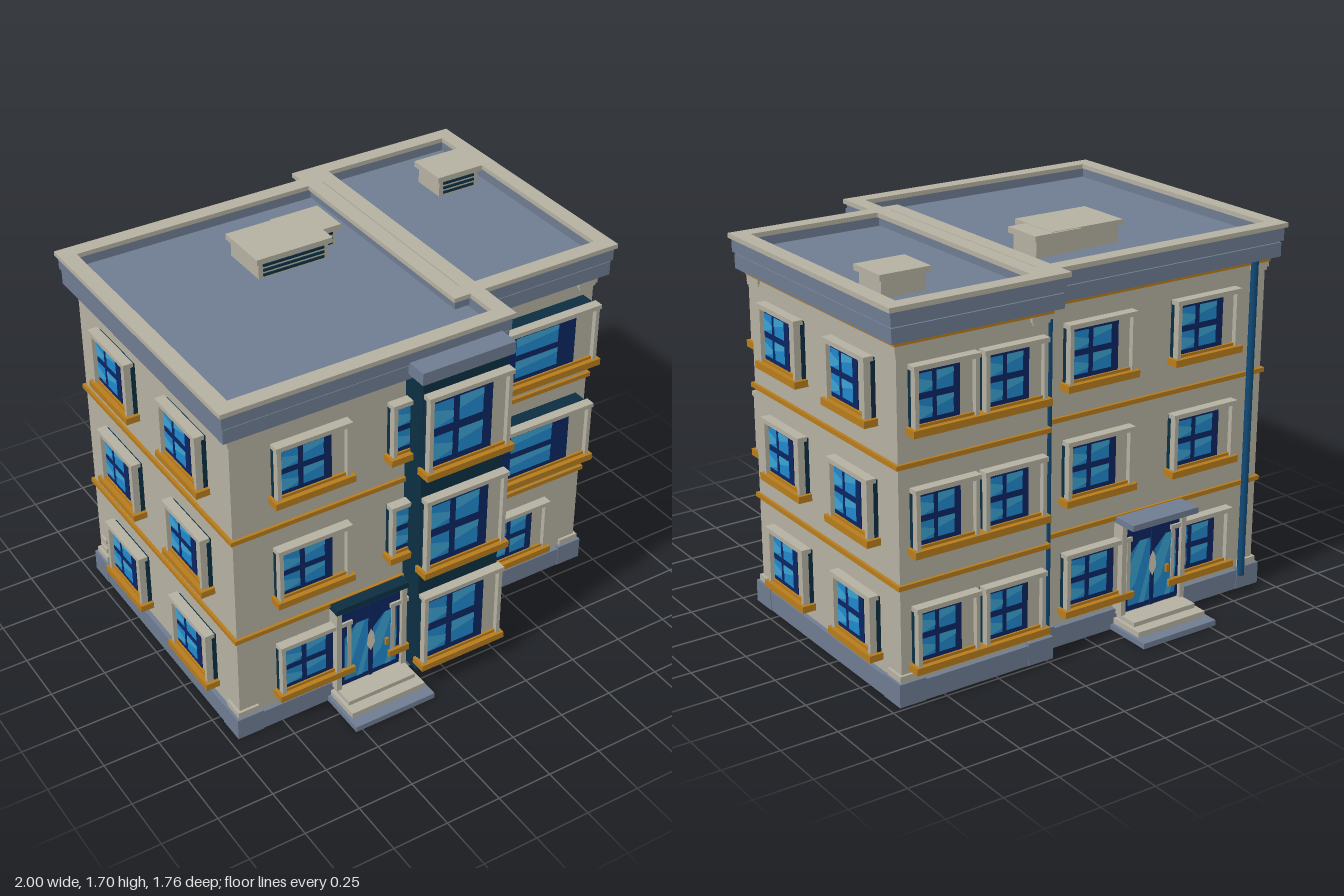
import * as THREE from 'three';

const mat = (name, color) => {
  const m = new THREE.MeshStandardMaterial({ color });
  m.name = name;
  return m;
};
const wall = mat('wall stone', 0xb5b1a2);
const slate = mat('slate', 0x6f7c91);
const ochre = mat('ochre trim', 0xb87c1c);
const teal = mat('dark teal', 0x0c2f42);
const navy = mat('navy glass', 0x0c2562);
const blue = mat('blue glass', 0x2088cc);
const sky = mat('light glass', 0x3ca2d2);
const pipeBlue = mat('pipe blue', 0x104a76);
const cream = mat('cream', 0xd2cab4);

// Box given by its min and max on every axis
function box(parent, name, m, x0, x1, y0, y1, z0, z1) {
  const mesh = new THREE.Mesh(new THREE.BoxGeometry(x1 - x0, y1 - y0, z1 - z0), m);
  mesh.position.set((x0 + x1) / 2, (y0 + y1) / 2, (z0 + z1) / 2);
  mesh.name = name;
  parent.add(mesh);
  return mesh;
}

// Flat polygon facing +z
function plate(parent, name, m, pts, z) {
  const shape = new THREE.Shape(pts.map(p => new THREE.Vector2(p[0], p[1])));
  const mesh = new THREE.Mesh(new THREE.ShapeGeometry(shape), m);
  mesh.position.z = z;
  mesh.name = name;
  parent.add(mesh);
}

function rim(parent, name, m, [x0, x1, z0, z1], y0, y1, t) {
  box(parent, name, m, x0, x1, y0, y1, z0, z0 + t);
  box(parent, name, m, x0, x1, y0, y1, z1 - t, z1);
  box(parent, name, m, x0, x0 + t, y0, y1, z0 + t, z1 - t);
  box(parent, name, m, x1 - t, x1, y0, y1, z0 + t, z1 - t);
}

// Window facing +z; origin at the bottom centre of the sill on the wall
function makeWindow(w, h, { back = 0.02, strip = 0.06, cols = [[0.02, 0.34], [0.44, 0.84]] } = {}) {
  const g = new THREE.Group();
  g.name = 'window';
  const a = w / 2, s = 0.03, f = 0.018, d = back + 0.03;
  box(g, 'windowBacking', teal, -a, a, s - 0.005, h - 0.01, -0.01, back);
  box(g, 'windowReveal', wall, -a + 0.005, a - 0.005, s, h - 0.015, back, back + 0.008);
  for (const k of [-1, 1]) {
    const c = k * (a - f / 2);
    box(g, 'windowJamb', wall, c - f / 2, c + f / 2, s, h - 0.02, back, d);
  }
  box(g, 'windowLintel', wall, -a - 0.006, a + 0.006, h - 0.02, h, back - 0.01, d + 0.004);
  box(g, 'windowSill', ochre, -a - 0.015, a + 0.015, 0, s, -0.01, d + 0.012);
  box(g, 'innerSill', ochre, -a + f, a - f, s, s + 0.012, back, back + 0.02);
  // glass with reflections, and a plain strip at its right
  const x0 = -a + f + 0.004, x1 = a - f - strip, y0 = s + 0.012, y1 = h - 0.022;
  const pw = x1 - x0, ph = y1 - y0, z = back + 0.008;
  box(g, 'glass', navy, x0, x1, y0, y1, z, z + 0.004);
  for (const [u0, u1] of cols) for (const [v0, v1] of [[0.09, 0.45], [0.57, 0.93]]) {
    const l = x0 + u0 * pw, r = x0 + u1 * pw, b = y0 + v0 * ph, t = y0 + v1 * ph, q = (t - b) / 4;
    plate(g, 'reflection', blue, [[l, b], [r, b], [r, t], [l, t]], z + 0.006);
    plate(g, 'reflectionGleam', sky, u0 < 0.1
      ? [[l, b], [r, b + q], [r, t - 2 * q], [l, t - q]]
      : [[l, b + 2 * q], [r, t - q], [r, t], [l, t]], z + 0.008);
  }
  return g;
}

// Door facing +z with steps; origin on the ground at the wall
function makeDoor(canopyMat, canopyDepth) {
  const g = new THREE.Group();
  g.name = 'entrance';
  box(g, 'bottomStep', slate, -0.195, 0.195, 0, 0.025, 0, 0.245);
  box(g, 'middleStep', wall, -0.18, 0.18, 0.025, 0.05, 0, 0.19);
  box(g, 'topStep', wall, -0.165, 0.165, 0.05, 0.07, 0, 0.14);
  box(g, 'doorSurround', wall, -0.16, 0.16, 0.07, 0.49, 0, 0.04);
  for (const k of [-1, 1]) {
    const c = k * 0.16;
    box(g, 'doorJamb', wall, c - 0.012, c + 0.012, 0.07, 0.49, 0, 0.058);
  }
  box(g, 'canopy', canopyMat, -0.175, 0.175, 0.485, 0.512, 0, canopyDepth);
  const z = 0.04;
  box(g, 'doorGlass', navy, -0.14, 0.145, 0.075, 0.478, z, z + 0.004);
  box(g, 'doorHeader', pipeBlue, -0.14, 0.145, 0.465, 0.478, z, z + 0.007);
  for (const k of [-1, 1]) {
    const c = k * 0.07;
    const q = (p) => p.map(([x, y]) => [c + x, y]);
    plate(g, 'doorReflection', blue, q([[-0.058, 0.1], [0.058, 0.1], [0.058, 0.39], [0.0, 0.39], [-0.058, 0.33]]), z + 0.006);
    plate(g, 'doorGleam', sky, q([[-0.058, 0.16], [-0.02, 0.2], [0.04, 0.39], [0.0, 0.39], [-0.058, 0.28]]), z + 0.008);
    plate(g, 'doorGleam', sky, q([[0.0, 0.1], [0.03, 0.1], [0.058, 0.22], [0.058, 0.3]]), z + 0.008);
  }
  box(g, 'doorMidRail', navy, -0.008, 0.008, 0.075, 0.47, z, z + 0.009);
  plate(g, 'doorPlaque', cream, [[-0.02, 0.25], [0, 0.21], [0.02, 0.25], [0.015, 0.3], [0, 0.33], [-0.015, 0.3]], z + 0.0095);
  box(g, 'doorHandle', ochre, 0.07, 0.085, 0.21, 0.245, z, z + 0.018);
  return g;
}

export function createModel() {
  const model = new THREE.Group();
  model.name = 'apartmentBuilding';
  const put = (g, x, y, z, ry = 0) => {
    g.position.set(x, y, z);
    g.rotation.y = ry;
    model.add(g);
  };

  // Two overlapping wings: wall bounds [x0, x1, z0, z1]
  const wings = [[-0.94, 0.26, -0.64, 0.635], [0.24, 0.935, -0.71, 0.42]];
  for (const r of wings) {
    const grow = (d) => [r[0] - d, r[1] + d, r[2] - d, r[3] + d];
    const slab = (name, m, d, y0, y1) => {
      const [x0, x1, z0, z1] = grow(d);
      box(model, name, m, x0, x1, y0, y1, z0, z1);
    };
    slab('walls', wall, 0, 0.05, 1.52);
    slab('plinth', slate, 0.02, 0, 0.09);
    for (const y of [0.495, 0.995]) slab('floorBand', ochre, 0.013, y, y + 0.02);
    slab('topBand', ochre, 0.016, 1.488, 1.51);
    slab('lowerCornice', slate, 0.045, 1.51, 1.572);
    slab('corniceGroove', slate, 0.036, 1.572, 1.58);
    slab('roofDeck', slate, -0.01, 1.57, 1.6);
    rim(model, 'upperCornice', slate, grow(0.052), 1.58, 1.638, 0.055);
    rim(model, 'parapetCap', wall, grow(0.063), 1.638, 1.658, 0.07);
    // capitals and stepped feet at the corners
    for (const x of [r[0], r[1]]) for (const z of [r[2], r[3]]) {
      const sx = x === r[0] ? 1 : -1, sz = z === r[2] ? 1 : -1;
      const corner = (name, m, out, size, y0, y1) => {
        const xa = x - sx * out, xb = x + sx * size, za = z - sz * out, zb = z + sz * size;
        box(model, name, m, Math.min(xa, xb), Math.max(xa, xb), y0, y1, Math.min(za, zb), Math.max(za, zb));
      };
      corner('cornerFoot', slate, 0.023, 0.1, 0, 0.1);
      corner('cornerFootTop', wall, 0.012, 0.085, 0.1, 0.128);
      corner('cornerCapital', wall, 0.012, 0.085, 1.465, 1.49);
      corner('cornerCapitalNeck', wall, 0.006, 0.075, 1.45, 1.465);
    }
  }

  // Front bay column with its cap
  box(model, 'bayColumn', teal, -0.15, 0.245, 0.06, 1.535, 0.6, 0.755);
  box(model, 'bayCap', slate, -0.17, 0.265, 1.535, 1.59, 0.6, 0.78);

  // Windows of the three storeys
  const H = Math.PI / 2;
  [0.14, 0.635, 1.13].forEach((y, floor) => {
    const std = (x, z, ry, w = 0.33) => put(makeWindow(w, 0.28), x, y, z, ry);
    std(-0.597, 0.635, 0);
    std(-0.07, 0.635, 0);
    put(makeWindow(0.39, 0.385, { strip: 0.065 }), 0.047, y - 0.033, 0.755);
    if (floor === 0) std(0.585, 0.42, 0, 0.31);
    else put(makeWindow(0.61, 0.295, { back: 0.085, strip: 0.09, cols: [[0.01, 0.19], [0.36, 0.81]] }), 0.58, y + 0.003, 0.42);
    std(0.935, 0.125, H, 0.3);
    std(0.935, -0.41, H, 0.3);
    std(0.26, 0.31, H);
    std(-0.94, 0.3, -H, 0.31);
    std(-0.94, -0.29, -H, 0.31);
    std(0.74, -0.71, Math.PI, 0.29);
    std(0.42, -0.71, Math.PI, 0.29);
    std(-0.05, -0.64, Math.PI);
    std(-0.6, -0.64, Math.PI);
  });

  // Entrances
  put(makeDoor(teal, 0.065), -0.335, 0, 0.635);
  put(makeDoor(slate, 0.13), -0.335, 0, -0.64, Math.PI);

  // Drainpipes at the back
  for (const x of [0.205, -0.86]) {
    const pipe = new THREE.Mesh(new THREE.CylinderGeometry(0.016, 0.016, 1.45, 8), pipeBlue);
    pipe.position.set(x, 0.79, -0.665);
    pipe.name = 'drainpipe';
    model.add(pipe);
  }

  // Small wall vents
  for (const y of [0.145, 0.195]) {
    box(model, 'wallVent', wall, 0.26, 0.268, y, y + 0.02, 0.565, 0.615);
    box(model, 'wallVent', wall, -0.948, -0.94, y, y + 0.02, -0.615, -0.565);
  }

  // Rooftop units with louvres on the front
  for (const [x0, x1, z0, z1, top] of [[-0.37, -0.01, -0.39, -0.13, 1.7], [-0.15, 0.08, -0.4, -0.21, 1.698], [0.65, 0.88, -0.515, -0.325, 1.7]]) {
    box(model, 'roofUnit', wall, x0 + 0.015, x1 - 0.015, 1.59, top - 0.02, z0 + 0.015, z1 - 0.015);
    box(model, 'roofUnitLid', wall, x0, x1, top - 0.025, top, z0, z1);
    for (let i = 0; i < 3; i++) {
      const y = 1.61 + i * 0.022;
      box(model, 'louvre', teal, x0 + 0.035, x1 - 0.035, y, y + 0.011, z1 - 0.015, z1 - 0.009);
    }
  }
  return model;
}
